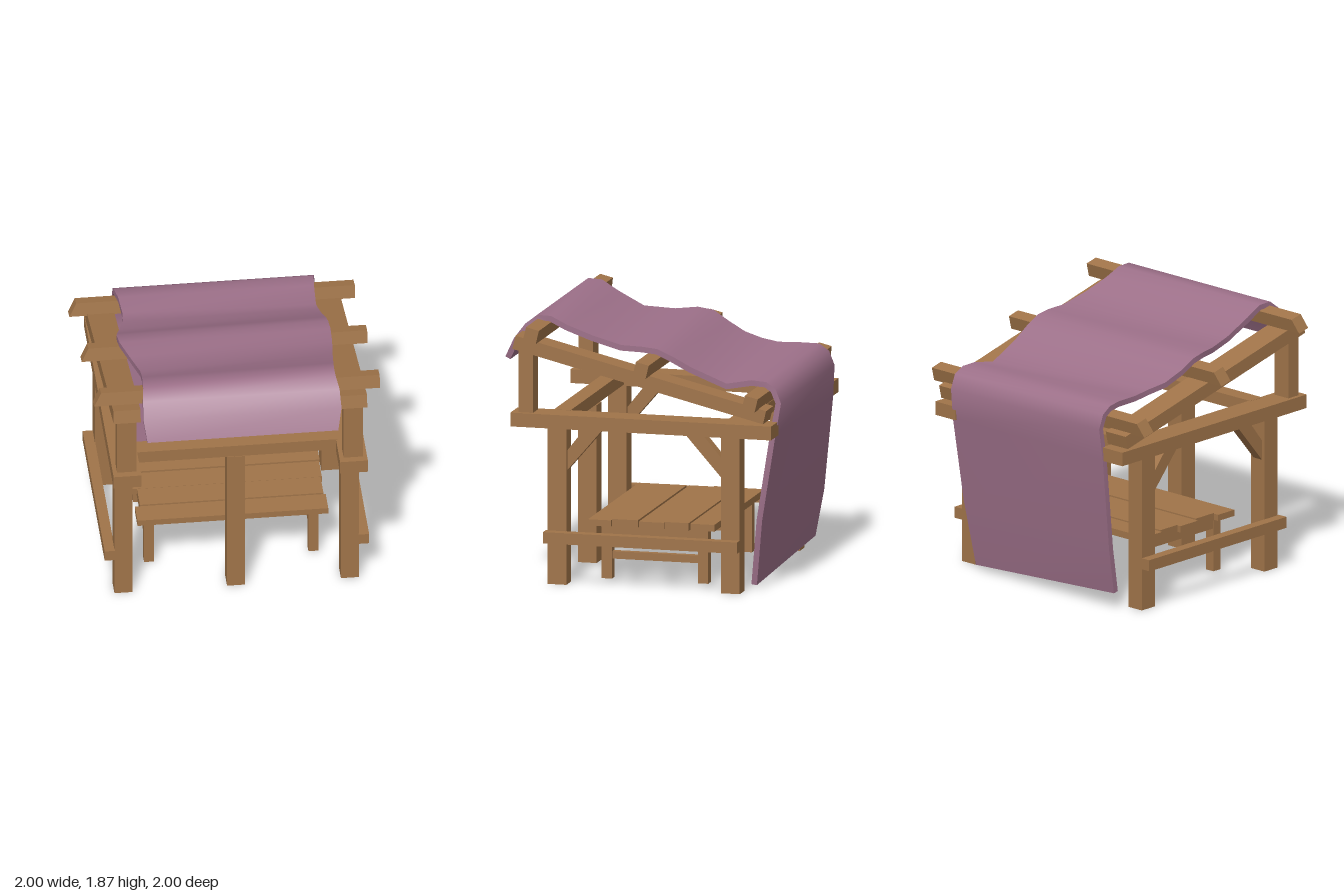
import * as THREE from 'three';
import { toCreasedNormals } from 'three/addons/utils/BufferGeometryUtils.js';

const wood = new THREE.MeshStandardMaterial({ color: 0xa07449 });
wood.name = 'wood';
const fabric = new THREE.MeshStandardMaterial({ color: 0x9d7089 });
fabric.name = 'mauve fabric';

export function createModel() {
  const model = new THREE.Group();
  model.name = 'marketStall';

  const add = (name, geometry, material = wood) => {
    const mesh = new THREE.Mesh(geometry, material);
    mesh.name = name;
    model.add(mesh);
    return mesh;
  };
  // Box given by its minimum and maximum corner
  const box = (name, x0, x1, y0, y1, z0, z1) => {
    const mesh = add(name, new THREE.BoxGeometry(x1 - x0, y1 - y0, z1 - z0));
    mesh.position.set((x0 + x1) / 2, (y0 + y1) / 2, (z0 + z1) / 2);
    return mesh;
  };
  // Side profile in (z, y), extruded across x
  const sidePlate = (name, points, x, width) => {
    const shape = new THREE.Shape(points.map(([z, y]) => new THREE.Vector2(-z, y)));
    const geo = new THREE.ExtrudeGeometry(shape, { depth: width, bevelEnabled: false });
    geo.rotateY(Math.PI / 2);
    geo.translate(x - width / 2, 0, 0);
    return add(name, geo);
  };

  const slope = Math.atan(0.243);

  // Both side frames; c is the x centre of each
  for (const [side, c] of [['left', 0.805], ['right', -0.78]]) {
    const s = Math.sign(c);
    box(side + 'FrontPost', c - 0.063, c + 0.063, 0, 1.12, 0.51, 0.645);
    box(side + 'BackPost', c - 0.063, c + 0.063, 0, 1.12, -0.74, -0.605);
    box(side + 'SideBeam', c - 0.097, c + 0.097, 1.11, 1.208, -0.975, 0.905);
    box(side + 'Upright', c - 0.067, c + 0.067, 1.2, 1.7, 0.75, 0.855);
    const railIn = c + s * 0.06, railOut = c + s * 0.133;
    box(side + 'Rail', Math.min(railIn, railOut), Math.max(railIn, railOut), 0.3, 0.38, -0.74, 0.66);

    // Sloping rafter
    const rafter = add(side + 'Rafter', new THREE.BoxGeometry(0.19, 0.097, 1.86));
    rafter.position.set(c, 1.488, -0.024);
    rafter.rotation.x = -slope;

    // Diagonal braces
    sidePlate(side + 'FrontBrace', [[0.51, 0.81], [0.51, 0.95], [0.38, 1.115], [0.25, 1.115]], c, 0.08);
    sidePlate(side + 'BackBrace', [[-0.605, 0.81], [-0.605, 0.95], [-0.465, 1.115], [-0.335, 1.115]], c, 0.08);
  }

  box('centrePost', -0.055, 0.072, 0, 1.12, 0.51, 0.645);
  box('frontBeam', -0.7, 0.72, 1.12, 1.21, 0.52, 0.64);
  box('backBeam', -0.7, 0.72, 1.12, 1.205, -0.735, -0.615);

  // Purlins across the rafters, with a slanted cut at one end
  for (const [z, y] of [[0.73, 1.782], [-0.062, 1.577], [-0.848, 1.38]]) {
    const geo = new THREE.BoxGeometry(2, 0.098, 0.095);
    const p = geo.attributes.position;
    for (let i = 0; i < p.count; i++) {
      if (p.getX(i) < 0 && p.getY(i) > 0) p.setX(i, -0.95);
    }
    geo.computeVertexNormals();
    const purlin = add('purlin', geo);
    purlin.position.set(0, y, z);
    purlin.rotation.x = -slope;
  }

  // Bench planks, slightly uneven
  const planks = [[0.24, 0.405, -0.655, 0.68, 0.435], [0.05, 0.235, -0.62, 0.665, 0.443],
    [-0.14, 0.04, -0.65, 0.675, 0.437], [-0.32, -0.147, -0.63, 0.68, 0.445], [-0.5, -0.327, -0.65, 0.66, 0.438]];
  for (const [z0, z1, x0, x1, top] of planks) box('benchPlank', x0, x1, 0.39, top, z0, z1);

  // Bench legs with bearers and stretchers
  for (const x of [-0.565, 0.585]) {
    for (const z of [0.287, -0.408]) box('benchLeg', x - 0.035, x + 0.035, 0.01, 0.392, z - 0.037, z + 0.037);
    box('benchBearer', x - 0.03, x + 0.03, 0.32, 0.392, -0.44, 0.32);
    box('benchStretcher', x - 0.022, x + 0.022, 0.15, 0.203, -0.38, 0.26);
  }

  // Draped cloth: stations front to back, each [x, z, y] for both edges
  const stations = [
    [-0.65, 1.0, 1.56, 0.685, 1.0, 1.56],
    [-0.67, 0.93, 1.7, 0.715, 0.93, 1.7],
    [-0.665, 0.85, 1.805, 0.71, 0.85, 1.805],
    [-0.655, 0.77, 1.868, 0.69, 0.77, 1.868],
    [-0.65, 0.67, 1.865, 0.69, 0.67, 1.865],
    [-0.64, 0.55, 1.795, 0.7, 0.55, 1.81],
    [-0.63, 0.36, 1.7, 0.715, 0.36, 1.747],
    [-0.685, 0.15, 1.68, 0.735, 0.15, 1.695],
    [-0.735, 0, 1.69, 0.74, 0, 1.692],
    [-0.745, -0.11, 1.672, 0.735, -0.11, 1.68],
    [-0.73, -0.22, 1.605, 0.73, -0.22, 1.63],
    [-0.7, -0.35, 1.54, 0.72, -0.35, 1.56],
    [-0.66, -0.48, 1.51, 0.71, -0.48, 1.505],
    [-0.65, -0.6, 1.49, 0.705, -0.6, 1.455],
    [-0.66, -0.78, 1.493, 0.71, -0.78, 1.49],
    [-0.68, -0.89, 1.487, 0.72, -0.89, 1.485],
    [-0.68, -0.96, 1.44, 0.73, -0.96, 1.44],
    [-0.68, -1.0, 1.34, 0.73, -1.0, 1.34],
    [-0.7, -0.985, 1.12, 0.745, -0.965, 1.12],
    [-0.7, -0.92, 0.45, 0.735, -0.865, 0.5],
    [-0.69, -0.86, 0.12, 0.67, -0.81, 0.03],
  ];
  const thickness = 0.04;
  const last = stations.length - 1;
  const inner = (i, k) => {
    const a = stations[Math.max(i - 1, 0)], b = stations[Math.min(i + 1, last)], s = stations[i];
    const dz = b[k + 1] - a[k + 1], dy = b[k + 2] - a[k + 2];
    const f = thickness / Math.hypot(dz, dy);
    return [s[k], s[k + 2] + dz * f, s[k + 1] - dy * f];
  };
  const positions = [], index = [];
  stations.forEach((s, i) => {
    positions.push(s[0], s[2], s[1], s[3], s[5], s[4], ...inner(i, 3), ...inner(i, 0));
    if (i === last) return;
    for (let j = 0; j < 4; j++) {
      const a = 4 * i + j, b = 4 * i + (j + 1) % 4;
      index.push(a, b, b + 4, a, b + 4, a + 4);
    }
  });
  const e = 4 * last;
  index.push(0, 3, 2, 0, 2, 1, e, e + 1, e + 2, e, e + 2, e + 3);
  const cloth = new THREE.BufferGeometry();
  cloth.setAttribute('position', new THREE.Float32BufferAttribute(positions, 3));
  cloth.setIndex(index);
  add('drapedCloth', toCreasedNormals(cloth, 0.85), fabric);

  return model;
}
